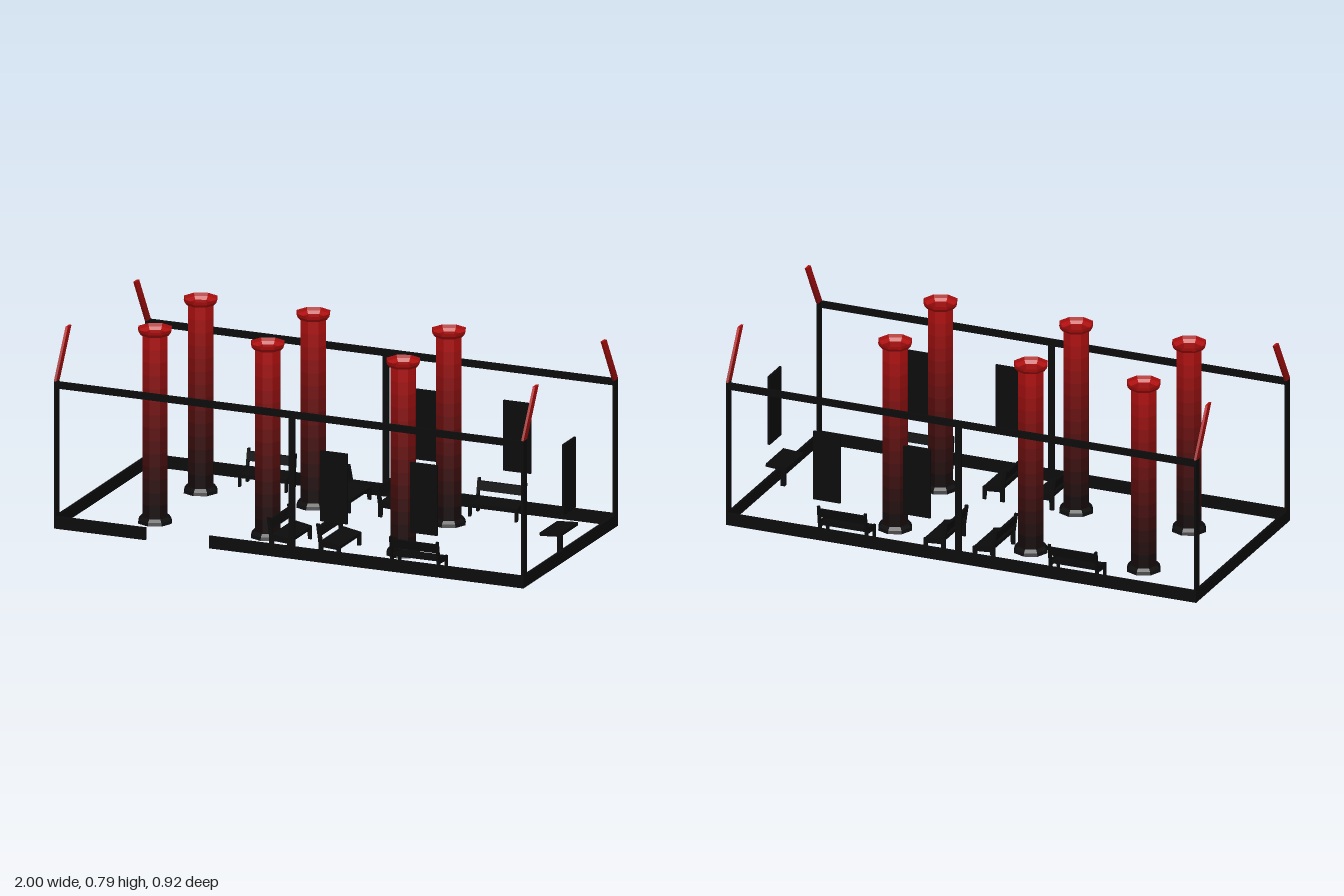
import * as THREE from 'three';

const black = new THREE.MeshStandardMaterial({ color: 0x0c0b0b, flatShading: true });
const TOP = 0.79;

// Red that fades to black towards the floor
function fade(y) {
  const t = Math.min(1, Math.max(0, y / TOP));
  const color = new THREE.Color().setRGB(0.04 + 0.68 * t, 0.045 + 0.015 * t, 0.045 + 0.015 * t, THREE.SRGBColorSpace);
  return new THREE.MeshStandardMaterial({ color, flatShading: true, side: THREE.DoubleSide });
}

// Box given by its min and max corners
function box(parent, name, [x0, y0, z0], [x1, y1, z1]) {
  const mesh = new THREE.Mesh(new THREE.BoxGeometry(x1 - x0, y1 - y0, z1 - z0), black);
  mesh.position.set((x0 + x1) / 2, (y0 + y1) / 2, (z0 + z1) / 2);
  mesh.name = name;
  parent.add(mesh);
  return mesh;
}

// Side profile (z, y) extruded along x, centred on x = 0
function slab(points, width, material) {
  const shape = new THREE.Shape(points.map(([z, y]) => new THREE.Vector2(-z, y)));
  const geo = new THREE.ExtrudeGeometry(shape, { depth: width, bevelEnabled: false });
  geo.translate(0, 0, -width / 2).rotateY(Math.PI / 2);
  return new THREE.Mesh(geo, material);
}

// Hollow eight-sided column, flared at both ends, in bands of fading colour
function makeColumn() {
  const column = new THREE.Group();
  column.name = 'column';
  const band = (name, pts) => {
    const geo = new THREE.LatheGeometry(pts.map(([r, y]) => new THREE.Vector2(r, y)), 8);
    const mesh = new THREE.Mesh(geo, fade((pts[0][1] + pts[pts.length - 1][1]) / 2));
    mesh.name = name;
    column.add(mesh);
  };
  const low = 0.025, high = TOP - 0.025, n = 14;
  band('columnBase', [[0.071, 0], [0.067, 0.013], [0.057, low], [0.053, low]]);
  for (let i = 0; i < n; i++) {
    const y = (k) => low + (high - low) * k / n;
    band('columnShaft', [[0.053, y(i)], [0.053, y(i + 1)]]);
  }
  band('columnCapital', [[0.053, high], [0.057, high], [0.067, TOP - 0.013], [0.071, TOP]]);
  return column;
}

// Bench facing +z, back at -z
function makeBench() {
  const bench = new THREE.Group();
  bench.name = 'bench';
  const add = (name, points, width, x = 0) => {
    const mesh = slab(points, width, black);
    mesh.name = name;
    mesh.position.x = x;
    bench.add(mesh);
  };
  const side = [[-0.042, 0], [-0.026, 0], [-0.024, 0.04], [0.034, 0.036], [0.036, 0], [0.05, 0],
    [0.05, 0.054], [-0.028, 0.068], [-0.04, 0.132], [-0.053, 0.132], [-0.042, 0.05]];
  for (const s of [-1, 1]) add('benchSideFrame', side, 0.009, s * 0.099);
  add('benchSeat', [[-0.035, 0.05], [0.048, 0.04], [0.048, 0.053], [-0.035, 0.064]], 0.2);
  add('benchBackrest', [[-0.042, 0.085], [-0.031, 0.085], [-0.038, 0.121], [-0.049, 0.121]], 0.2);
  return bench;
}

export function createModel() {
  const model = new THREE.Group();
  model.name = 'hall';

  // Skirting, with a doorway gap at the front
  box(model, 'skirtingBack', [-1, 0, -0.46], [1, 0.05, -0.45]);
  box(model, 'skirtingFrontRight', [-1, 0, 0.45], [-0.61, 0.05, 0.46]);
  box(model, 'skirtingFrontLeft', [-0.34, 0, 0.45], [1, 0.05, 0.46]);
  for (const s of [-1, 1]) box(model, 'skirtingEnd', [s * 0.995 - 0.005, 0, -0.45], [s * 0.995 + 0.005, 0.05, 0.45]);

  // Rails, posts and sloping roof struts on both long sides
  for (const s of [-1, 1]) {
    const z0 = s * 0.455 - 0.005, z1 = z0 + 0.01;
    box(model, 'topRail', [-1, 0.572, z0], [1, 0.6, z1]);
    box(model, 'middlePost', [0, 0.04, z0], [0.025, 0.58, z1]);
    for (const e of [-1, 1]) {
      const x = e * 0.995;
      box(model, 'cornerPost', [x - 0.005, 0.04, s * 0.4425 - 0.0175], [x + 0.005, 0.6, s * 0.4425 + 0.0175]);
      const n = 6;
      for (let i = 0; i < n; i++) {
        const at = (k) => [s * (0.46 - 0.113 * k / n), 0.6 + 0.19 * k / n];
        const [za, ya] = at(i), [zb, yb] = at(i + 1), w = s * 0.036;
        const strut = slab([[za, ya], [zb, yb], [zb - w, yb], [za - w, ya]], 0.01, fade((ya + yb) / 2));
        strut.position.x = x;
        strut.name = 'roofStrut';
        model.add(strut);
      }
    }
  }

  // Two rows of three columns
  for (const x of [-0.675, -0.195, 0.382]) {
    for (const z of [-0.225, 0.218]) {
      const column = makeColumn();
      column.position.set(x, 0, z);
      model.add(column);
    }
  }

  // Benches: x, z, turn about y
  const turn = Math.PI / 2;
  for (const [x, z, ry] of [
    [-0.463, -0.388, 0], [0.518, -0.388, 0], [0.518, 0.378, Math.PI],
    [-0.072, -0.292, turn], [0.138, -0.292, turn], [-0.072, 0.285, turn], [0.138, 0.285, turn],
  ]) {
    const bench = makeBench();
    bench.position.set(x, 0, z);
    bench.rotation.y = ry;
    model.add(bench);
  }

  // Wall panels
  for (const s of [-1, 1]) {
    for (const x of [0.19, 0.573]) {
      box(model, 'wallPanel', [x - 0.058, 0.168, s * 0.453 - 0.004], [x + 0.058, 0.455, s * 0.453 + 0.004]);
    }
  }
  box(model, 'endWallPanel', [0.988, 0.186, -0.057], [0.997, 0.474, 0.059]);

  // Small table at the end wall
  const tableTop = box(model, 'tableTop', [0.905, 0.102, -0.086], [0.993, 0.115, 0.086]);
  tableTop.rotation.z = 0.07;
  box(model, 'tableLeg', [0.945, 0, -0.009], [0.963, 0.106, 0.009]);

  return model;
}
